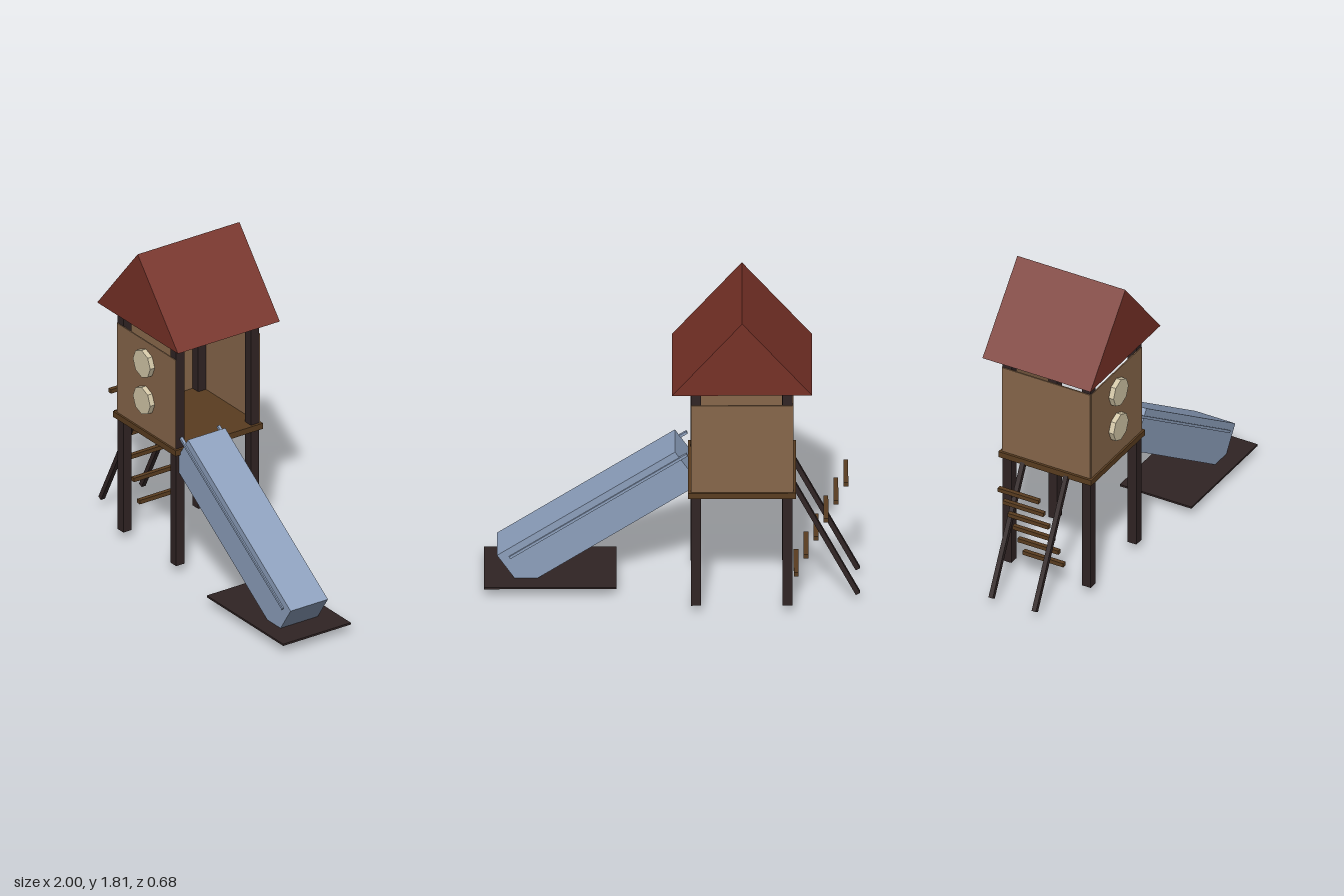
import * as THREE from 'three';

const material = (name, color) => {
  const m = new THREE.MeshStandardMaterial({ color });
  m.name = name;
  return m;
};

export function createModel() {
  const group = new THREE.Group();
  group.name = 'playTower';

  const darkWood = material('darkWood', 0x302424);
  const deckWood = material('deckWood', 0x5a3d20);
  const panelWood = material('panelWood', 0x87674a);
  const roofRed = material('roofRed', 0x773127);
  const slideBlue = material('slideBlue', 0x8da0bd);
  const cream = material('cream', 0xd4c8a8);

  const add = (name, geometry, mat, parent = group) => {
    const mesh = new THREE.Mesh(geometry, mat);
    mesh.name = name;
    parent.add(mesh);
    return mesh;
  };

  // Box given by its limits on each axis
  const block = (name, mat, [x0, x1], [y0, y1], [z0, z1]) => {
    const mesh = add(name, new THREE.BoxGeometry(x1 - x0, y1 - y0, z1 - z0), mat);
    mesh.position.set((x0 + x1) / 2, (y0 + y1) / 2, (z0 + z1) / 2);
    return mesh;
  };

  // Bar between two points of the xy plane, at depth z
  const bar = (name, mat, [x0, y0], [x1, y1], z, height, depth) => {
    const length = Math.hypot(x1 - x0, y1 - y0);
    const mesh = add(name, new THREE.BoxGeometry(length, height, depth), mat);
    mesh.position.set((x0 + x1) / 2, (y0 + y1) / 2, z);
    mesh.rotation.z = Math.atan2(y1 - y0, x1 - x0);
    return mesh;
  };

  // Four posts
  for (const x of [-0.64, -0.153])
    for (const z of [-0.28, 0.207])
      block('post', darkWood, [x, x + 0.053], [0.053, 1.39], [z, z + 0.053]);

  // Deck
  block('deck', deckWood, [-0.66, -0.085], [0.716, 0.75], [-0.295, 0.275]);

  // Thin walls on three sides, open towards the slide
  block('frontWall', panelWood, [-0.64, -0.1], [0.75, 1.28], [0.257, 0.264]);
  block('backWall', panelWood, [-0.64, -0.1], [0.75, 1.28], [-0.285, -0.278]);
  block('ladderSideWall', panelWood, [-0.646, -0.638], [0.75, 1.28], [-0.28, 0.26]);

  // Octagonal discs on the front wall
  for (const y of [1.155, 0.935]) {
    const disc = add('disc', new THREE.CylinderGeometry(0.08, 0.08, 0.029, 8).toNonIndexed(), cream);
    disc.geometry.computeVertexNormals();
    disc.rotation.x = Math.PI / 2;
    disc.position.set(-0.373, y, 0.2785);
  }

  // Gabled roof
  const gable = new THREE.Shape([
    new THREE.Vector2(-0.745, 1.376),
    new THREE.Vector2(0, 1.376),
    new THREE.Vector2(-0.3725, 1.815),
  ]);
  const roof = add('roof', new THREE.ExtrudeGeometry(gable, { depth: 0.663, bevelEnabled: false }), roofRed);
  roof.position.z = -0.344;

  // Ladder side rails and loose stepped rungs
  for (const z of [-0.147, 0.118])
    bar('ladderRail', darkWood, [-0.989, 0.055], [-0.64, 0.74], z, 0.026, 0.026);
  for (let i = 0; i < 6; i++) {
    const x = -0.925 + i * 0.053, y = 0.714 - i * 0.11;
    block('rung', deckWood, [x - 0.0125, x + 0.0125], [y - 0.0115, y + 0.0115], [-0.14, 0.11]);
  }

  // Slide: solid sloped block with a thin rail along each side
  const slide = add('slide', new THREE.BoxGeometry(1.138, 0.236, 0.243), slideBlue);
  slide.position.set(0.392, 0.421, 0.1215);
  slide.rotation.z = -Math.atan2(118, 177);
  for (const z of [0, 0.243])
    bar('slideRail', slideBlue, [-0.08, 0.82], [0.864, 0.191], z, 0.015, 0.016);

  // Landing mat
  block('landingMat', darkWood, [0.295, 1], [0.053, 0.064], [-0.1, 0.34]);

  return group;
}
